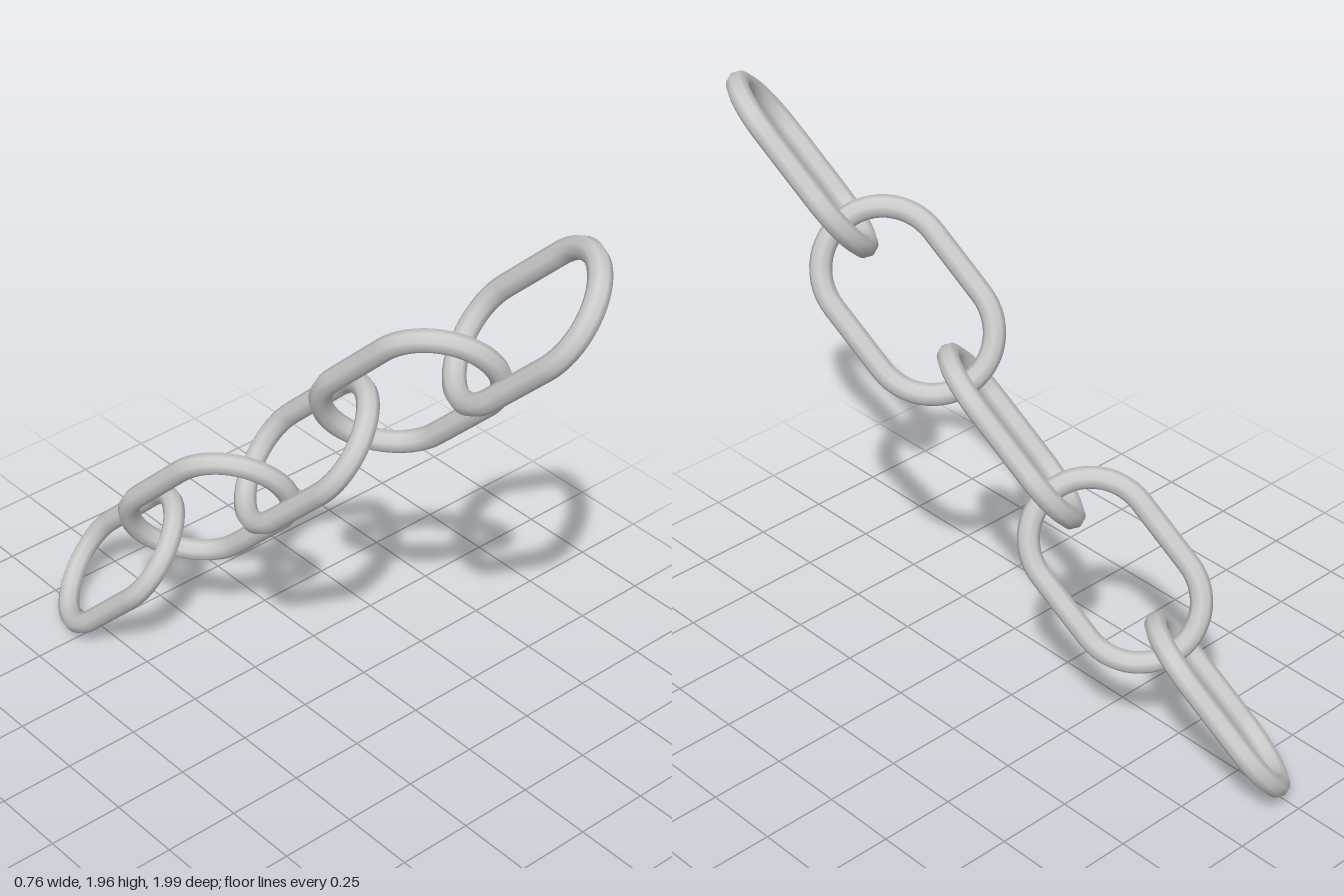
import * as THREE from 'three';

const LINKS = 5;
const PITCH = 0.511;    // spacing of link centres
const HALF = 0.117;     // half length of a link's straight sides
const BEND = 0.19;      // centreline radius of the rounded ends
const WIRE = 0.035;     // wire radius

// Closed stadium centreline in the XY plane, long axis along y
class LinkCurve extends THREE.Curve {
  getPoint(t, target = new THREE.Vector3()) {
    const arc = Math.PI * BEND, side = 2 * HALF;
    let d = (((t % 1) + 1) % 1) * 2 * (arc + side);
    const flip = d >= arc + side ? -1 : 1;
    if (flip < 0) d -= arc + side;
    if (d < side) target.set(BEND, d - HALF, 0);
    else {
      const a = (d - side) / BEND;
      target.set(Math.cos(a) * BEND, HALF + Math.sin(a) * BEND, 0);
    }
    return target.set(target.x * flip, target.y * flip, 0);
  }
}

export function createModel() {
  const chain = new THREE.Group();
  chain.name = 'chain';
  const material = new THREE.MeshStandardMaterial({ color: 0xcccccc });
  const geometry = new THREE.TubeGeometry(new LinkCurve(), 72, WIRE, 8, true);

  // Chain direction and two directions square to it
  const along = new THREE.Vector3(0.187, 0.713, 0.71).normalize();
  const back = new THREE.Vector3(0, 1, -1).normalize();
  const across = new THREE.Vector3().crossVectors(along, back).normalize();
  if (across.x < 0) across.negate();
  back.crossVectors(across, along).normalize();
  if (back.y < 0) back.negate();

  // Alternate links are a quarter turn apart about the chain direction
  for (let i = 0; i < LINKS; i++) {
    const turn = i % 2 ? -1 : 1;
    const side = across.clone().addScaledVector(back, turn).normalize();
    const normal = new THREE.Vector3().crossVectors(side, along);
    const link = new THREE.Mesh(geometry, material);
    link.name = `chainLink${i + 1}`;
    link.quaternion.setFromRotationMatrix(new THREE.Matrix4().makeBasis(side, along, normal));
    link.position.copy(along).multiplyScalar((i - (LINKS - 1) / 2) * PITCH);
    link.position.y += 0.983;
    chain.add(link);
  }
  return chain;
}
